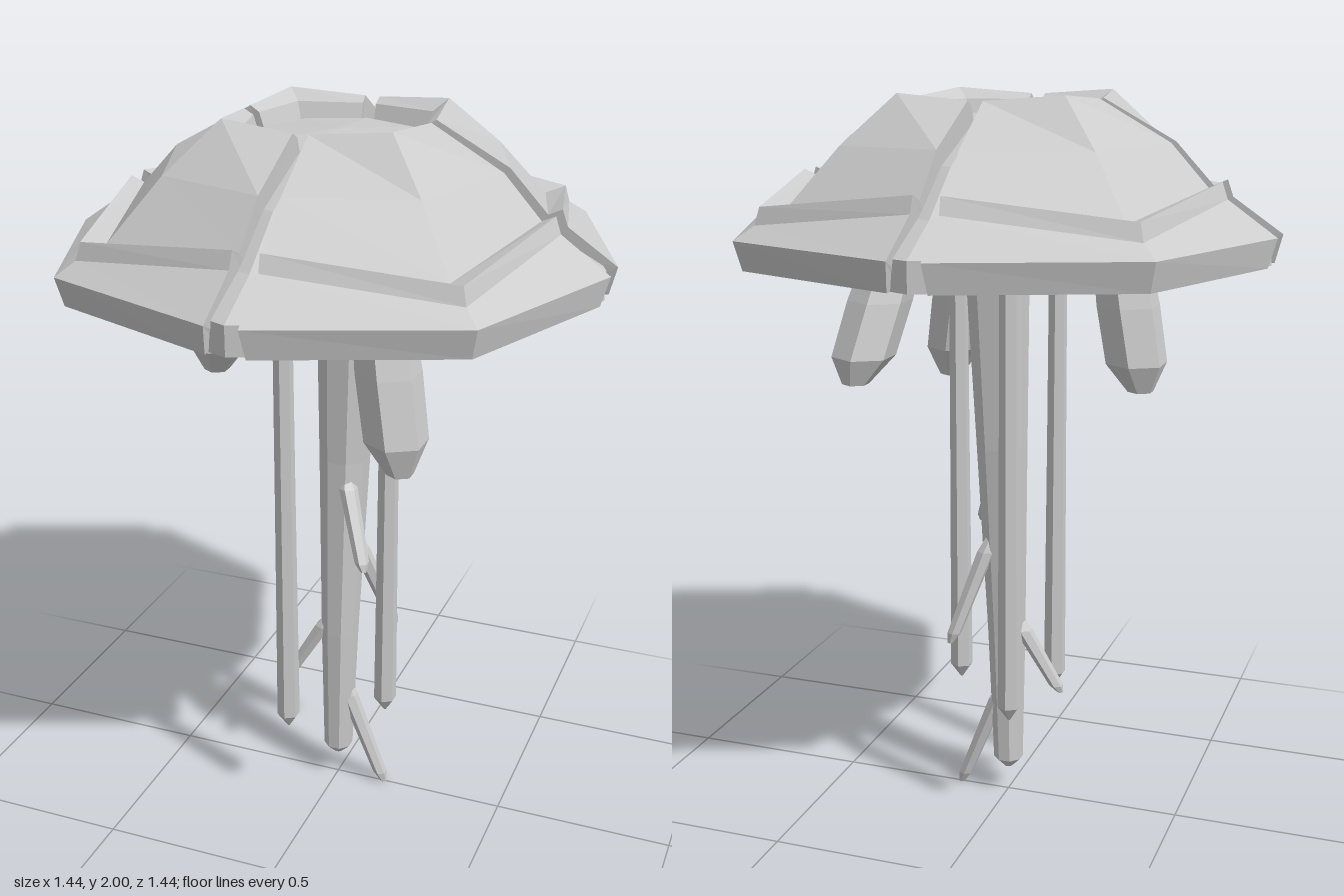
import * as THREE from 'three';

const mat = new THREE.MeshStandardMaterial({ color: 0xcccccc, flatShading: true });

// Skin a solid over cross-section rings that all have the same point count
function loft(name, rings) {
  const n = rings[0].length, pos = [];
  const quad = (a, b, c, d) => [a, b, c, a, c, d].forEach(p => pos.push(...p));
  for (let j = 0; j < rings.length - 1; j++)
    for (let i = 0; i < n; i++) {
      const k = (i + 1) % n;
      quad(rings[j][i], rings[j][k], rings[j + 1][k], rings[j + 1][i]);
    }
  const first = rings[0], last = rings[rings.length - 1];
  for (let i = 0; i < n / 2 - 1; i++) {
    quad(first[n - 1 - i], first[n - 2 - i], first[i + 1], first[i]);
    quad(last[i], last[i + 1], last[n - 2 - i], last[n - 1 - i]);
  }
  const geo = new THREE.BufferGeometry();
  geo.setAttribute('position', new THREE.Float32BufferAttribute(pos, 3));
  geo.computeVertexNormals();
  const mesh = new THREE.Mesh(geo, mat);
  mesh.name = name;
  return mesh;
}

// Faceted limb through [x, y, z, radius] sections, listed from the top down
function limb(name, sections, sides = 6) {
  return loft(name, sections.map(([x, y, z, r]) =>
    Array.from({ length: sides }, (_, i) => {
      const a = (i + 0.5) / sides * Math.PI * 2;
      return [x + r * Math.cos(a), y, z + r * Math.sin(a)];
    })));
}

// One quarter of the outer shell: profile beside the groove, on the diagonal, and mirrored
function shellPanel() {
  const edge = [
    [0.70, 1.58, 0.05], [0.72, 1.655, 0.042], [0.59, 1.745, 0.036], [0.575, 1.788, 0.034],
    [0.54, 1.772, 0.032], [0.44, 1.88, 0.028], [0.25, 1.985, 0.02], [0.225, 1.97, 0.018],
  ];
  const corner = [
    [0.515, 1.58], [0.53, 1.655], [0.49, 1.69], [0.48, 1.735],
    [0.435, 1.722], [0.33, 1.875], [0.22, 2.0], [0.187, 1.97],
  ].map(([d, y]) => [d, y, d]);
  const closed = outer => {
    const inner = outer.map(([x, y, z], i) =>
      [x * 0.9, i === 0 ? y : y - (i === 1 ? 0.035 : 0.07), z * (z < 0.1 ? 1 : 0.9)]);
    return [...outer, ...inner.reverse()];
  };
  const ringA = closed(edge);
  const ringC = ringA.map(([x, y, z]) => [z, y, x]);
  return loft('shellPanel', [ringA, closed(corner), ringC]);
}

export function createModel() {
  const model = new THREE.Group();

  // Inner cap, seen through the grooves and the crown opening, hollow below
  const profile = [
    [0, 1.73], [0.36, 1.71], [0.46, 1.61], [0.6, 1.58], [0.70, 1.58],
    [0.70, 1.655], [0.56, 1.73], [0.42, 1.84], [0.21, 1.935], [0, 1.95],
  ].map(p => new THREE.Vector2(...p));
  const cap = new THREE.Mesh(new THREE.LatheGeometry(profile, 8).toNonIndexed(), mat);
  cap.geometry.computeVertexNormals();
  cap.name = 'innerCap';
  model.add(cap);

  // Four shell panels around the cap
  for (let i = 0; i < 4; i++) {
    const panel = shellPanel();
    panel.rotation.y = i * Math.PI / 2;
    model.add(panel);
  }

  // Central stem
  model.add(limb('stem', [
    [0.035, 1.76, 0, 0.09], [0.03, 1.5, 0, 0.085], [0.015, 1.05, -0.01, 0.07],
    [0.005, 0.5, 0, 0.053], [0, 0.11, 0, 0.042], [0, 0.08, 0, 0.012],
  ], 8));

  // Thin hanging tentacles: x, z, bottom
  for (const [x, z, y] of [[-0.08, 0.19, 0.27], [0.17, 0.07, 0.31], [-0.06, -0.17, 0.31]])
    model.add(limb('tentacle', [
      [x, 1.76, z, 0.025], [x, 1.0, z, 0.028], [x, y + 0.04, z, 0.032], [x, y, z, 0.004],
    ]));

  // Stubby pods leaning outwards: top x, z and tip x, y, z
  for (const [tx, tz, x, y, z] of [
    [0.18, 0.23, 0.28, 1.17, 0.3],
    [-0.29, -0.02, -0.38, 1.24, -0.04],
    [0.2, -0.19, 0.29, 1.28, -0.36],
  ]) {
    const at = (t, r) => [tx + (x - tx) * t, 1.74 + (y - 1.74) * t, tz + (z - tz) * t, r];
    model.add(limb('pod', [at(0, 0.065), at(0.55, 0.085), at(0.85, 0.083), at(1, 0.035)]));
  }

  // Small twigs growing down off the stem: base x, y, z and tip x, y, z
  for (const [bx, by, bz, x, y, z] of [
    [0.035, 1.0, 0.03, 0.125, 0.78, 0.135],
    [0.04, 0.78, -0.04, 0.135, 0.49, -0.11],
    [0.02, 0.32, 0, 0.145, 0.005, 0],
    [-0.03, 0.53, 0.005, -0.15, 0.325, 0.02],
  ]) {
    const at = (t, r) => [bx + (x - bx) * t, by + (y - by) * t, bz + (z - bz) * t, r];
    model.add(limb('twig', [at(-0.1, 0.012), at(0.1, 0.026), at(0.9, 0.02), at(1, 0.009)]));
  }

  return model;
}
